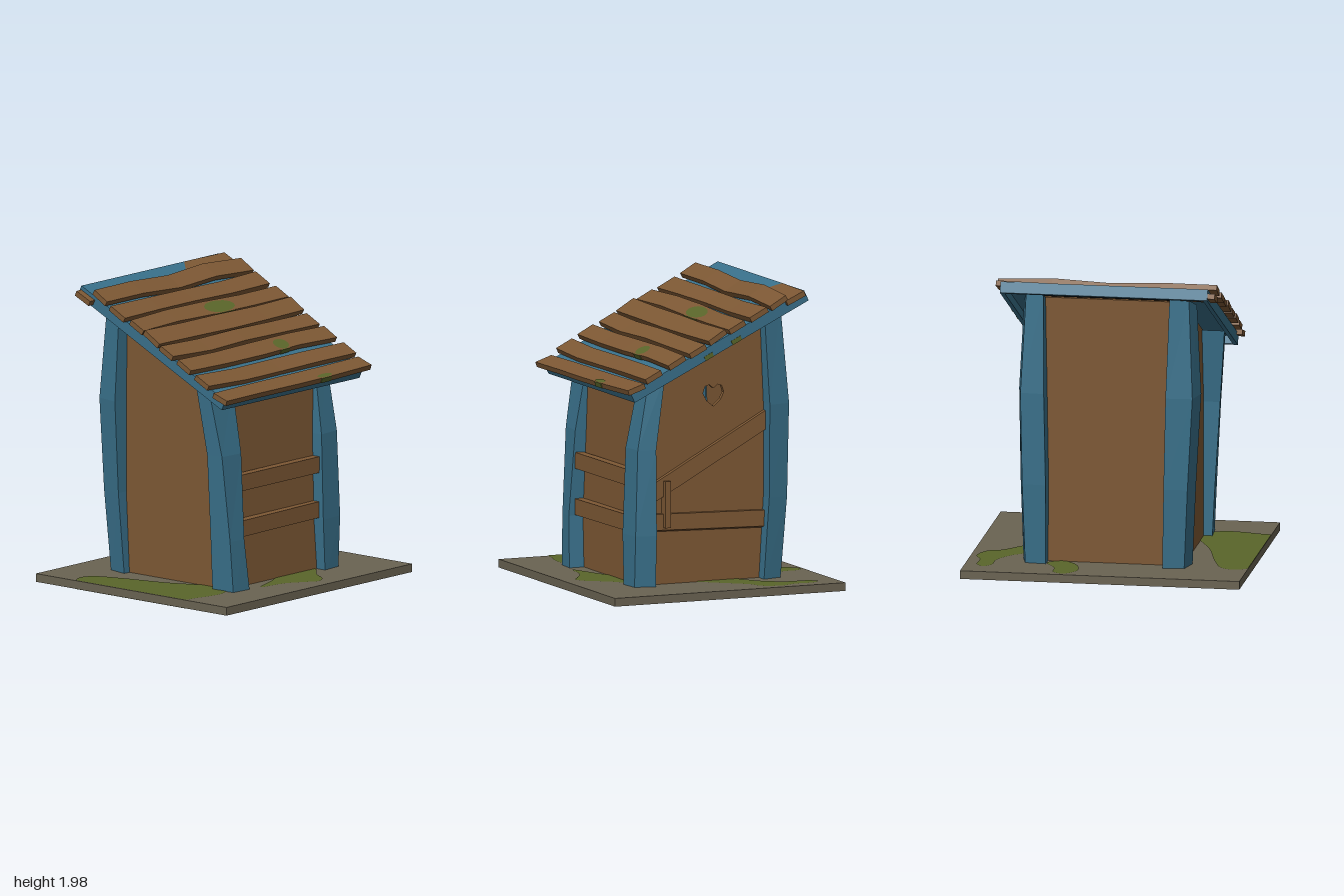
import * as THREE from 'three';

const mat = (name, color, side = THREE.FrontSide) => {
  const m = new THREE.MeshStandardMaterial({ color, side });
  m.name = name;
  return m;
};

export function createModel() {
  const wood = mat('brownWood', 0x7d5834);
  const blue = mat('bluePaint', 0x39708a);
  const stone = mat('greyStone', 0x6a6352);
  const moss = mat('moss', 0x5a662a, THREE.DoubleSide);
  const dark = mat('darkInside', 0x060606);
  const model = new THREE.Group();
  model.name = 'plankShed';

  const add = (name, geo, material, x = 0, y = 0, z = 0, parent = model) => {
    const m = new THREE.Mesh(geo, material);
    m.name = name;
    m.position.set(x, y, z);
    parent.add(m);
    return m;
  };
  const box = (name, w, h, d, material, x, y, z, parent) =>
    add(name, new THREE.BoxGeometry(w, h, d), material, x, y, z, parent);
  // Move every vertex by a rule, then rebuild flat normals
  const reshape = (geo, rule) => {
    const p = geo.attributes.position, v = new THREE.Vector3();
    for (let i = 0; i < p.count; i++) {
      rule(v.fromBufferAttribute(p, i));
      p.setXYZ(i, v.x, v.y, v.z);
    }
    const flat = geo.index ? geo.toNonIndexed() : geo;
    flat.computeVertexNormals();
    return flat;
  };
  let seed = 7;
  const rand = () => {
    seed = (seed * 16807) % 2147483647;
    return seed / 2147483647 - 0.5;
  };
  const roofUnder = z => 1.31 + 0.48 * (0.58 - z);

  // Ground slab with dark underside opening
  box('groundSlab', 1.86, 0.055, 1.66, stone, 0, 0.0325, 0);
  box('wallFooting', 0.99, 0.01, 0.93, wood, 0, 0.008, 0);
  box('floorUnderside', 0.945, 0.01, 0.885, dark, 0, 0.007, 0);

  // Moss patches on the slab, as [x, z] outlines
  const patches = {
    mossLeft: [[-0.95, -0.45], [-0.85, -0.52], [-0.76, -0.49], [-0.68, -0.3], [-0.6, 0], [-0.46, 0.4],
      [-0.6, 0.52], [-0.72, 0.52], [-0.84, 0.49], [-0.95, 0.46], [-0.96, 0]],
    mossRight: [[0.8, -0.69], [0.85, -0.64], [0.85, -0.5], [0.89, -0.4], [0.84, -0.26], [0.76, -0.23],
      [0.6, -0.05], [0.45, 0.1], [0.46, -0.2], [0.65, -0.35], [0.74, -0.5], [0.75, -0.64]],
    mossBack: [[0.25, -0.81], [0.32, -0.77], [0.33, -0.66], [0.4, -0.52], [0.3, -0.46], [0.2, -0.55], [0.17, -0.72]],
    mossFront: [[-0.3, 0.58], [-0.1, 0.62], [0.03, 0.7], [0.1, 0.74], [0.18, 0.7], [0.26, 0.58], [0.38, 0.46],
      [0.1, 0.42], [-0.1, 0.5]],
  };
  for (const [name, pts] of Object.entries(patches)) {
    const curve = new THREE.CatmullRomCurve3(pts.map(([x, z]) => new THREE.Vector3(x, z, 0)), true);
    const outline = curve.getPoints(48).slice(0, -1)
      .map(p => new THREE.Vector2(THREE.MathUtils.clamp(p.x, -0.93, 0.93), p.y));
    const geo = new THREE.ShapeGeometry(new THREE.Shape(outline)).rotateX(Math.PI / 2);
    add(name, geo, moss, 0, 0.063, 0);
    add(name + 'Under', geo, moss, 0, 0.004, 0);
  }

  // Side walls: sloped tops, heart cut-out in the door side
  const sideWall = (name, x, heart) => {
    const s = new THREE.Shape();
    s.moveTo(-0.45, 0.01);
    s.lineTo(0.45, 0.01);
    s.lineTo(0.45, roofUnder(-0.45) + 0.04);
    s.lineTo(-0.4, roofUnder(0.4) + 0.04);
    if (heart) {
      const half = [[0, 1.34], [0.03, 1.365], [0.06, 1.355], [0.075, 1.31], [0.05, 1.26], [0, 1.22]];
      const pts = [...half, ...half.slice(1, -1).reverse().map(([a, b]) => [-a, b])];
      s.holes.push(new THREE.Path(pts.map(([a, b]) => new THREE.Vector2(a + 0.075, b))));
    }
    const geo = new THREE.ExtrudeGeometry(s, { depth: 0.03, bevelEnabled: false }).rotateY(Math.PI / 2);
    add(name, geo, wood, x, 0, 0);
  };
  sideWall('doorWall', 0.465, true);
  sideWall('sideWall', -0.495, false);

  // Front wall leans back with its posts, back wall is upright
  const endWall = (name, z, lean) => {
    const h = roofUnder(z) + 0.03;
    const geo = reshape(new THREE.BoxGeometry(0.94, h, 0.03).translate(0, h / 2 + 0.01, z), v => {
      v.z -= lean * v.y;
    });
    add(name, geo, wood);
  };
  endWall('frontWall', 0.445, 0.03);
  endWall('backWall', -0.445, 0);

  // Trim boards with sloping undersides, and the door handle
  const frontBoard = (name, y, h, tilt) => {
    const geo = reshape(new THREE.BoxGeometry(0.85, h, 0.06), v => {
      if (v.y < 0 && v.z > 0) v.y += 0.012;
    });
    add(name, geo, wood, 0, y, 0.47).rotation.set(0, 0.02, tilt);
  };
  frontBoard('frontBoardUpper', 0.76, 0.12, -0.004);
  frontBoard('frontBoardLower', 0.455, 0.12, 0.004);
  const doorBoard = (name, h, y, slope) => {
    const geo = reshape(new THREE.BoxGeometry(0.045, h, 0.83), v => {
      if (v.y < 0 && v.x > 0) v.y += 0.018;
      v.y += slope * v.z;
    });
    add(name, geo, wood, 0.505, y, -0.02);
  };
  doorBoard('doorBoard', 0.125, 0.46, 0.025);
  doorBoard('doorBrace', 0.145, 0.875, -0.545);
  box('doorHandle', 0.06, 0.31, 0.04, wood, 0.53, 0.595, 0.28);

  // Crooked corner posts: rings of [y, x0, x1, z0, z1], last ring follows the roof
  const posts = {
    frontLeftPost: [[0.001, 0.405, 0.58, 0.38, 0.53], [0.4, 0.385, 0.6, 0.38, 0.53],
      [0.97, 0.39, 0.59, 0.38, 0.51], [0, 0.415, 0.58, 0.31, 0.43]],
    frontRightPost: [[0.001, -0.55, -0.385, 0.38, 0.565], [0.4, -0.57, -0.43, 0.38, 0.55],
      [0.97, -0.605, -0.415, 0.38, 0.51], [0, -0.645, -0.41, 0.31, 0.43]],
    backLeftPost: [[0.001, 0.405, 0.575, -0.545, -0.4], [0.6, 0.4, 0.59, -0.59, -0.435],
      [1.22, 0.41, 0.6, -0.6, -0.435], [0, 0.42, 0.57, -0.55, -0.41]],
    backRightPost: [[0.001, -0.545, -0.37, -0.545, -0.39], [0.6, -0.575, -0.385, -0.585, -0.42],
      [1.22, -0.61, -0.4, -0.595, -0.42], [0, -0.58, -0.42, -0.55, -0.41]],
  };
  for (const [name, rings] of Object.entries(posts)) {
    const [, ax0, ax1, az0, az1] = rings[0];
    const sx = Math.sign(ax0), sz = Math.sign(az0);
    const geo = reshape(new THREE.BoxGeometry(1, 1, 1, 1, 3, 1), v => {
      const row = Math.round((v.y + 0.5) * 3);
      const [y, x0, x1, z0, z1] = rings[row];
      // The outermost corner is pulled in
      const outer = v.x * sx > 0 && v.z * sz > 0 ? 1 : 0;
      const z = (v.z > 0 ? z1 : z0) - outer * sz * 0.012;
      const pull = outer * sx * (sx < 0 && sz > 0 ? 0.012 : 0.033);
      v.set((v.x > 0 ? x1 : x0) - pull, row === 3 ? roofUnder(z) + 0.03 : y, z);
    });
    add(name, geo, blue);
    box(name + 'Hollow', 0.11, 0.004, 0.11, dark, (ax0 + ax1) / 2, 0.002, (az0 + az1) / 2);
  }

  // Sloped roof: sheet with a rim, dark ceiling over the room
  const roof = new THREE.Group();
  roof.name = 'roof';
  roof.position.set(0, 1.68, -0.015);
  roof.rotation.x = Math.atan(0.48);
  model.add(roof);
  box('roofSheet', 1.38, 0.02, 1.39, blue, 0, -0.01, 0, roof);
  for (const s of [-1, 1]) {
    box('roofSideRim', 0.03, 0.075, 1.39, blue, s * 0.675, -0.0375, 0, roof);
    box('roofEndRim', 1.38, 0.075, 0.03, blue, 0, -0.0375, s * 0.68, roof);
  }
  box('ceiling', 0.92, 0.006, 0.92, dark, 0, -0.026, 0.0, roof);
  for (const [x, z, w] of [[-0.35, -0.077, 0.62], [0.12, 0.45, 0.95], [0.1, -0.238, 0.5]])
    box('roofGap', w, 0.008, 0.02, dark, x, 0.004, z, roof);
  for (const [z, l] of [[-0.125, 0.075], [0.095, 0.065]])
    box('rimMossSide', 0.004, 0.03, l, moss, 0.691, -0.06, z, roof);
  box('rimMossFront', 0.2, 0.025, 0.004, moss, 0.27, -0.014, 0.696, roof);

  // Crooked roof planks: [centre z, width, height above the sheet, extra tilt, sideways tilt]
  const planks = [
    [0.665, 0.125, 0.008, -0.12, 0], [0.505, 0.125, 0.017, 0.02, 0], [0.325, 0.13, 0.024, 0.05, 0],
    [0.16, 0.125, 0.022, 0.02, 0], [0, 0.14, 0.034, 0.1, 0], [-0.155, 0.13, 0.03, 0.03, 0],
    [-0.33, 0.135, 0.022, 0.03, 0], [-0.495, 0.13, 0.032, 0.08, 0], [-0.614, 0.135, -0.025, -0.02, 0.025],
  ];
  // Moss on planks: [x, half length, half width]
  const mossSpots = { 0: [0.27, 0.07, 0.02], 2: [0.22, 0.065, 0.05], 5: [0.1, 0.14, 0.058] };
  planks.forEach(([z, w, y, tilt, lean], i) => {
    const wobble = lean ? 0 : 1;
    const knots = Array.from({ length: 5 },
      () => [rand() * 0.012 * wobble, rand() * 0.02, 1 + rand() * 0.12]);
    const bend = v => {
      const t = THREE.MathUtils.clamp((v.x / 1.46 + 0.5) * 4, 0, 3.999);
      const k = Math.floor(t);
      const [dy, dz, sz] = knots[k].map((a, j) => THREE.MathUtils.lerp(a, knots[k + 1][j], t - k));
      v.y += dy;
      v.z = v.z * sz + dz;
    };
    const plank = add('roofPlank', reshape(new THREE.BoxGeometry(1.46, 0.036, w, 4, 1, 1), bend),
      wood, rand() * 0.015, y, z, roof);
    plank.rotation.set(tilt, 0, lean);
    if (mossSpots[i]) {
      const [x, rx, rz] = mossSpots[i];
      const spot = new THREE.CircleGeometry(1, 14).rotateX(-Math.PI / 2).scale(rx, 1, rz)
        .translate(x, 0.021, w / 2 - rz);
      add('plankMoss', reshape(spot, bend), moss, 0, 0, 0, plank);
      const edge = new THREE.BoxGeometry(rx * 1.4, 0.036, 0.004, 4, 1, 1).translate(x, 0, w / 2 + 0.002);
      add('plankMossEdge', reshape(edge, bend), moss, 0, 0, 0, plank);
    }
  });
  return model;
}
